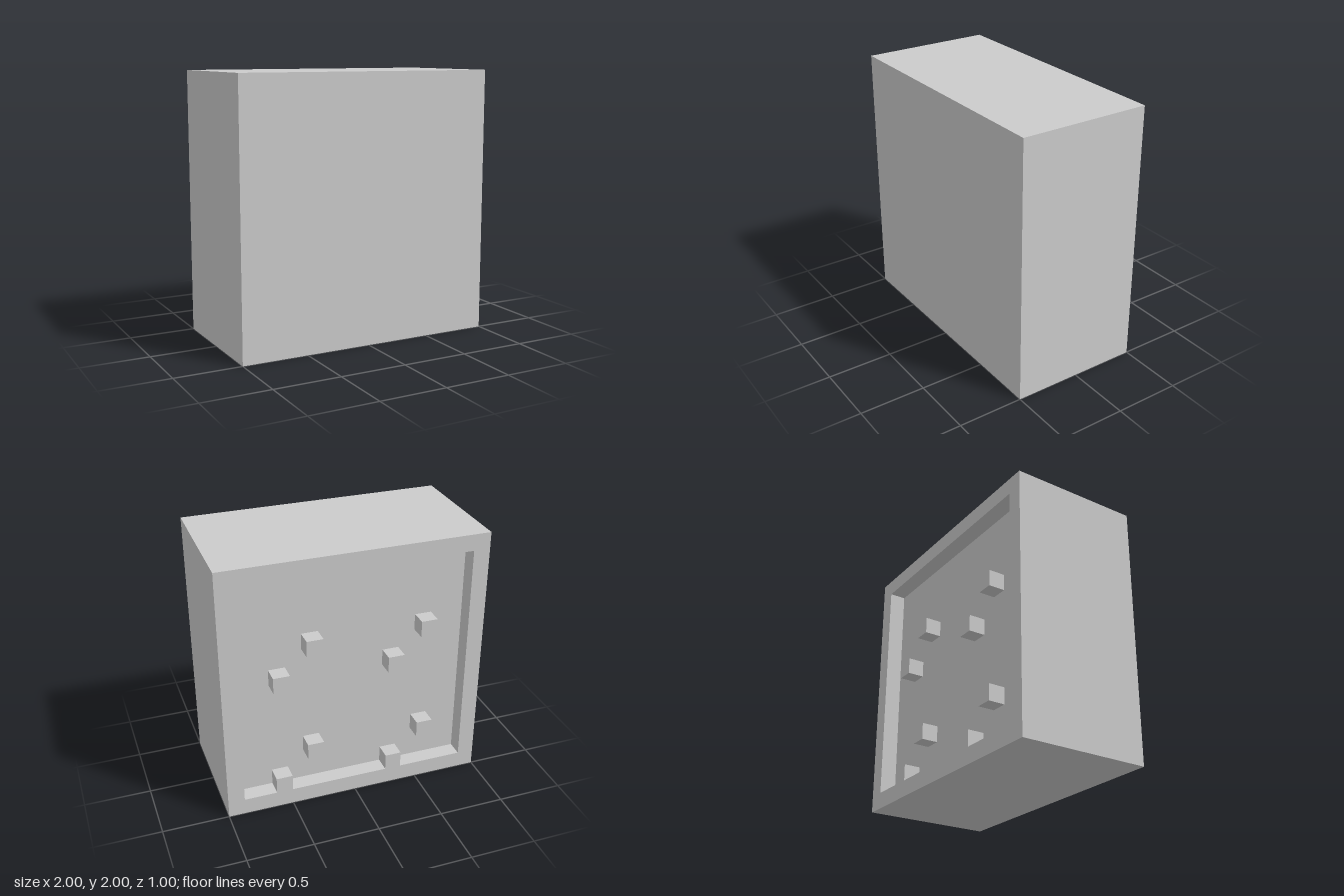
import * as THREE from 'three';

const material = new THREE.MeshStandardMaterial({ color: 0xcccccc, flatShading: true });
const U = 0.125; // unit: wall thickness, recess depth and stud size

function add(group, name, geometry, x, y, z) {
  const mesh = new THREE.Mesh(geometry, material);
  mesh.name = name;
  mesh.position.set(x, y, z);
  group.add(mesh);
}

export function createModel() {
  const model = new THREE.Group();
  model.name = 'recessedBlock';

  // Solid block, its back face is the floor of the recess
  add(model, 'block', new THREE.BoxGeometry(2, 2, 1 - U), 0, 1, U / 2);

  // Square rim around the recess at the back
  const rim = new THREE.Shape([[-1, 0], [1, 0], [1, 2], [-1, 2]].map(p => new THREE.Vector2(...p)));
  const a = 1 - U;
  rim.holes.push(new THREE.Path([[-a, U], [-a, 2 - U], [a, 2 - U], [a, U]].map(p => new THREE.Vector2(...p))));
  add(model, 'backRim', new THREE.ExtrudeGeometry(rim, { depth: U, bevelEnabled: false }), 0, 0, -0.5);

  // Cube studs: four diagonal pairs, flush with the rim
  const studs = new THREE.Group();
  studs.name = 'studs';
  const cube = new THREE.BoxGeometry(U, U, U);
  for (const x of [0.5625, -0.3125]) {
    for (const y of [0.1875, 1.0625]) {
      for (const step of [0, 0.25]) {
        add(studs, 'stud', cube, x - step, y + step, -0.5 + U / 2);
      }
    }
  }
  model.add(studs);
  return model;
}
